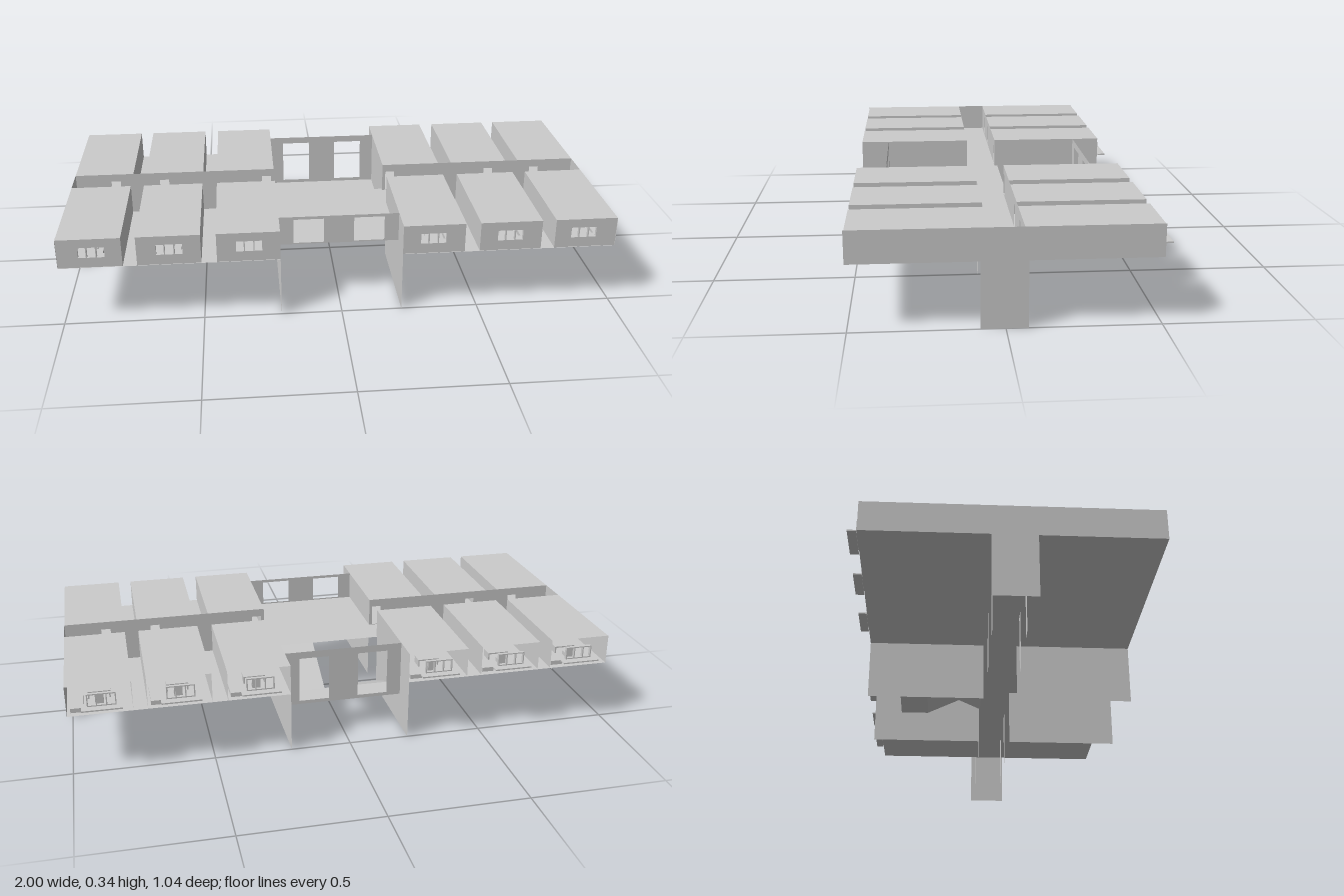
import * as THREE from 'three';

const sheetMat = new THREE.MeshStandardMaterial({ color: 0xcccccc, side: THREE.DoubleSide, flatShading: true });
const solidMat = new THREE.MeshStandardMaterial({ color: 0xcccccc, flatShading: true });

const FLOOR = 0.225, ROOF = 0.335, INNER = 0.22, CORR = 0.058, DEPTH = 0.497;
const ROOMS = [[0.22, 0.445], [0.5, 0.725], [0.775, 1]];
const WINDOWS = [0.33, 0.61, 0.88];
const DOORS = [0.25, 0.655, 0.845];

function add(parent, name, geo, mat) {
  const m = new THREE.Mesh(geo, mat);
  m.name = name;
  parent.add(m);
  return m;
}

// Flat four-cornered sheet
function quad(parent, name, a, b, c, d) {
  const g = new THREE.BufferGeometry();
  g.setAttribute('position', new THREE.Float32BufferAttribute([...a, ...b, ...c, ...d], 3));
  g.setIndex([0, 1, 2, 0, 2, 3]);
  g.computeVertexNormals();
  return add(parent, name, g, sheetMat);
}
const level = (p, n, x0, x1, z0, z1, y) =>
  quad(p, n, [x0, y, z1], [x1, y, z1], [x1, y, z0], [x0, y, z0]);
const sideWall = (p, n, x, z0, z1, y0, y1) =>
  quad(p, n, [x, y0, z1], [x, y0, z0], [x, y1, z0], [x, y1, z1]);

// Wall facing z with rectangular openings [x0, x1, y0, y1]
function wall(p, n, x0, x1, y0, y1, z, holes = [], mat = sheetMat) {
  const trace = (s, a, b, c, d) => s.moveTo(a, c).lineTo(b, c).lineTo(b, d).lineTo(a, d).closePath();
  const shape = trace(new THREE.Shape(), x0, x1, y0, y1);
  holes.forEach(h => shape.holes.push(trace(new THREE.Path(), ...h)));
  add(p, n, new THREE.ShapeGeometry(shape), mat).position.z = z;
}

function box(p, n, w, h, d, x, y, z) {
  add(p, n, new THREE.BoxGeometry(w, h, d), solidMat).position.set(x, y, z);
}

// Window frame with two mullions and an inner sill
function windowFrame(p, x, z) {
  const g = new THREE.Group();
  g.name = 'windowFrame';
  for (const y of [0.261, 0.304]) box(g, 'frameRail', 0.1, 0.004, 0.012, x, y, z);
  for (const dx of [-0.048, -0.017, 0.017, 0.048]) box(g, 'mullion', 0.004, 0.044, 0.012, x + dx, 0.282, z);
  box(g, 'windowSill', 0.14, 0.005, 0.03, x, 0.256, z - 0.019);
  p.add(g);
}

// Desk, chair and bed inside a room
function furniture(p, x, z) {
  const g = new THREE.Group();
  g.name = 'furniture';
  box(g, 'deskTop', 0.08, 0.005, 0.045, x, 0.25, z - 0.06);
  for (const s of [-1, 1]) box(g, 'deskSide', 0.005, 0.025, 0.045, x + s * 0.037, 0.238, z - 0.06);
  box(g, 'chairSeat', 0.03, 0.016, 0.03, x, 0.234, z - 0.11);
  box(g, 'chairBack', 0.03, 0.026, 0.004, x, 0.253, z - 0.125);
  box(g, 'bed', 0.045, 0.016, 0.12, x + 0.078, 0.234, z - 0.12);
  p.add(g);
}

function createRoom(p, sx, row, i) {
  const g = new THREE.Group();
  g.name = 'room';
  const [x0, x1] = ROOMS[i].map(v => v * sx).sort((a, b) => a - b);
  const [z0, z1] = row > 0 ? [CORR, DEPTH] : [-DEPTH, -CORR];
  const w = WINDOWS[i] * sx, face = row * DEPTH;
  level(g, 'roof', x0, x1, z0, z1, ROOF);
  // Party walls; the end wall closes the outermost room
  ROOMS[i].forEach(x => { if (x < 1) sideWall(g, 'partyWall', sx * x, z0, z1, FLOOR, ROOF); });
  // One-sided window wall, facing forward on both rows
  wall(g, 'windowWall', x0, x1, FLOOR, ROOF, face, [[w - 0.05, w + 0.05, 0.26, 0.305]], solidMat);
  windowFrame(g, w, face - 0.006);
  furniture(g, (x0 + x1) / 2, row > 0 ? DEPTH : -DEPTH + 0.2);
  p.add(g);
}

export function createModel() {
  const model = new THREE.Group();
  model.name = 'buildingStorey';

  for (const s of [-1, 1]) {
    const wing = new THREE.Group();
    wing.name = s > 0 ? 'leftWing' : 'rightWing';
    model.add(wing);
    const [x0, x1] = s > 0 ? [INNER, 1] : [-1, -INNER];
    level(wing, 'floor', x0, x1, -0.5, 0.5, FLOOR);

    // End wall with a lower strip closing the corridor below
    sideWall(wing, 'endWall', s, -0.5, 0.5, FLOOR, ROOF);
    sideWall(wing, 'lowerEndWall', s, -0.072, 0.08, 0, FLOOR);

    for (const row of [-1, 1]) {
      const doors = DOORS.map(d => [s * d - 0.018, s * d + 0.018, FLOOR + 0.002, 0.305]);
      wall(wing, 'corridorWall', x0, x1, FLOOR, ROOF, row * CORR, doors);
      for (let i = 0; i < 3; i++) createRoom(wing, s, row, i);
      // Wall strips between the rooms of the storey below
      for (const [a, b] of [[0.445, 0.5], [0.725, 0.775]])
        wall(wing, 'lowerPier', Math.min(s * a, s * b), Math.max(s * a, s * b), 0, FLOOR, row * CORR);
      // Cross walls beside the stair hall on the storey below
      sideWall(wing, 'lowerCrossWall', s * INNER, row > 0 ? 0.064 : -0.5, row > 0 ? 0.5 : -0.064, 0, FLOOR);
    }
  }

  // Stair hall
  const hall = new THREE.Group();
  hall.name = 'stairHall';
  model.add(hall);
  const openings = (y0, y1) => [[-0.167, -0.055, y0, y1], [0.055, 0.167, y0, y1]];
  level(hall, 'hallFloor', -INNER, INNER, -0.07, 0.387, FLOOR);
  level(hall, 'landing', -INNER, INNER, -0.39, -0.28, 0.125);
  wall(hall, 'hallFrontWall', -INNER, INNER, FLOOR, ROOF, 0.387, openings(0.23, 0.324));
  wall(hall, 'hallBackWall', -INNER, INNER, 0.125, ROOF, -0.39, openings(0.138, 0.309));
  // Two sloping flights
  const flight = (x0, x1, yBack, yFront) => quad(hall, 'stairFlight',
    [x0, yFront, -0.07], [x1, yFront, -0.07], [x1, yBack, -0.28], [x0, yBack, -0.28]);
  flight(0.047, INNER, 0.125, FLOOR);
  flight(-INNER, -0.047, 0.125, 0.03);

  return model;
}
